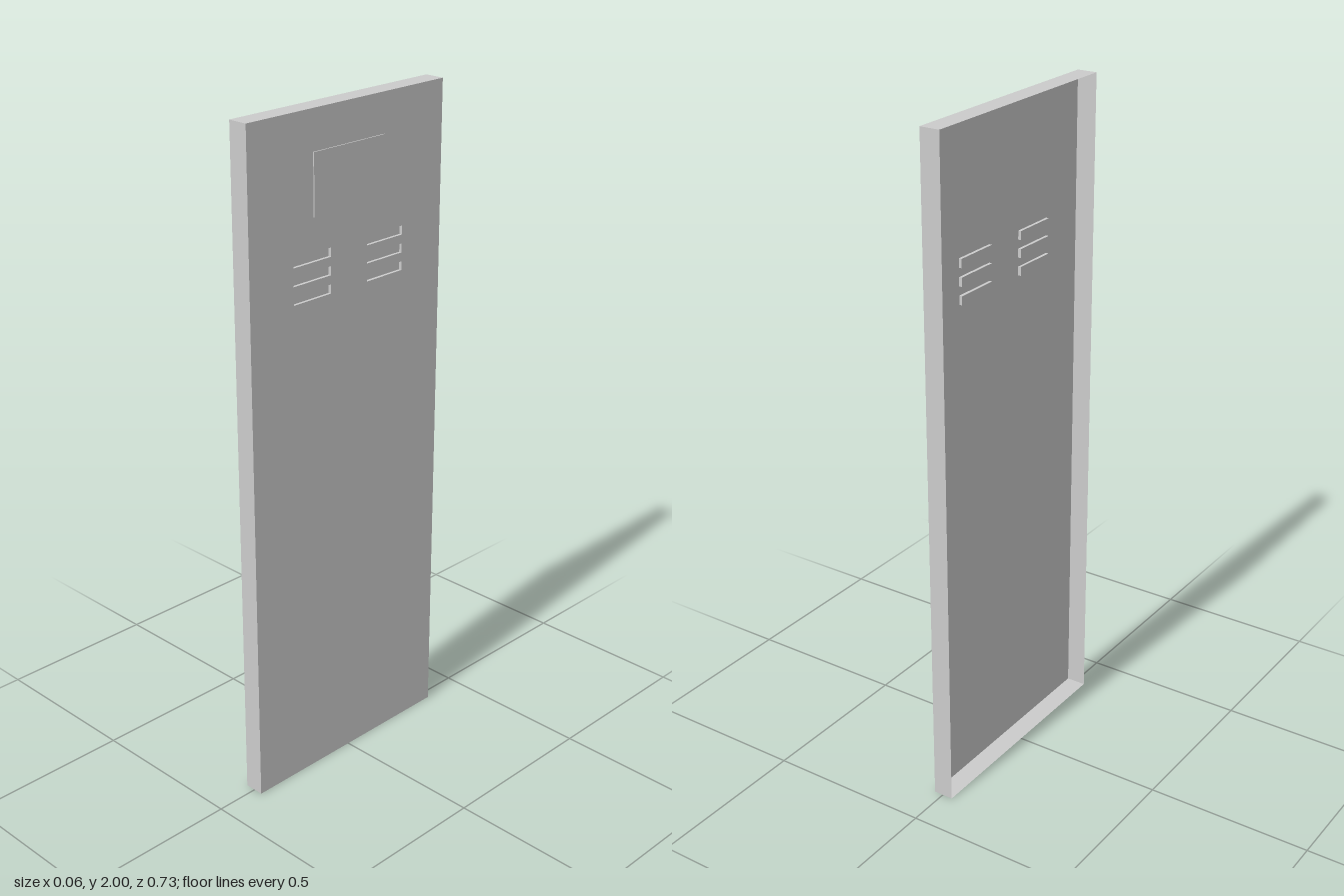
import * as THREE from 'three';

const BACK = -0.032, FACE = 0.0285;      // open edge and front skin, along x
const HEIGHT = 2, WIDTH = 0.734;
const SLOT = { length: 0.14, height: 0.026, depth: 0.009 };

const material = new THREE.MeshStandardMaterial({ color: 0xcccccc, side: THREE.DoubleSide });

// Thin-walled box with some sides left out (0 is +x, 1 is -x)
function openBox(w, h, d, omitted) {
  const geometry = new THREE.BoxGeometry(w, h, d);
  const index = Array.from(geometry.index.array);
  geometry.setIndex(index.filter((_, i) => !omitted.includes(Math.floor(i / 6))));
  geometry.clearGroups();
  return geometry;
}

export function createModel() {
  const group = new THREE.Group();
  const add = (name, geometry, x, y, z) => {
    const mesh = new THREE.Mesh(geometry, material);
    mesh.name = name;
    mesh.position.set(x, y, z);
    group.add(mesh);
  };

  // Two mirrored columns of three vent slots
  const slots = [];
  for (const side of [-1, 1]) {
    for (const y of [1.6, 1.548, 1.496]) slots.push({ y, z: side * 0.14 });
  }

  // Door skin with the slot openings cut out
  const skin = new THREE.Shape();
  const rectangle = (path, cx, cy, w, h) => path
    .moveTo(cx - w / 2, cy - h / 2)
    .lineTo(cx + w / 2, cy - h / 2)
    .lineTo(cx + w / 2, cy + h / 2)
    .lineTo(cx - w / 2, cy + h / 2)
    .closePath();
  rectangle(skin, 0, HEIGHT / 2, WIDTH, HEIGHT);
  for (const { y, z } of slots) {
    const hole = new THREE.Path();
    rectangle(hole, -z, y, SLOT.length, SLOT.height);
    skin.holes.push(hole);
  }
  add('doorSkin', new THREE.ShapeGeometry(skin).rotateY(Math.PI / 2), FACE, 0, 0);

  // Folded rim, open at the back
  add('doorRim', openBox(FACE - BACK, HEIGHT, WIDTH, [0, 1]), (FACE + BACK) / 2, HEIGHT / 2, 0);

  // Shallow pressed vents behind the openings
  for (const { y, z } of slots) {
    add('ventSlot', openBox(SLOT.depth, SLOT.height, SLOT.length, [0]), FACE - SLOT.depth / 2, y, z);
  }

  // Raised label plate
  add('labelPlate', new THREE.BoxGeometry(0.0035, 0.175, 0.268), FACE + 0.00175, 1.798, 0);

  return group;
}
